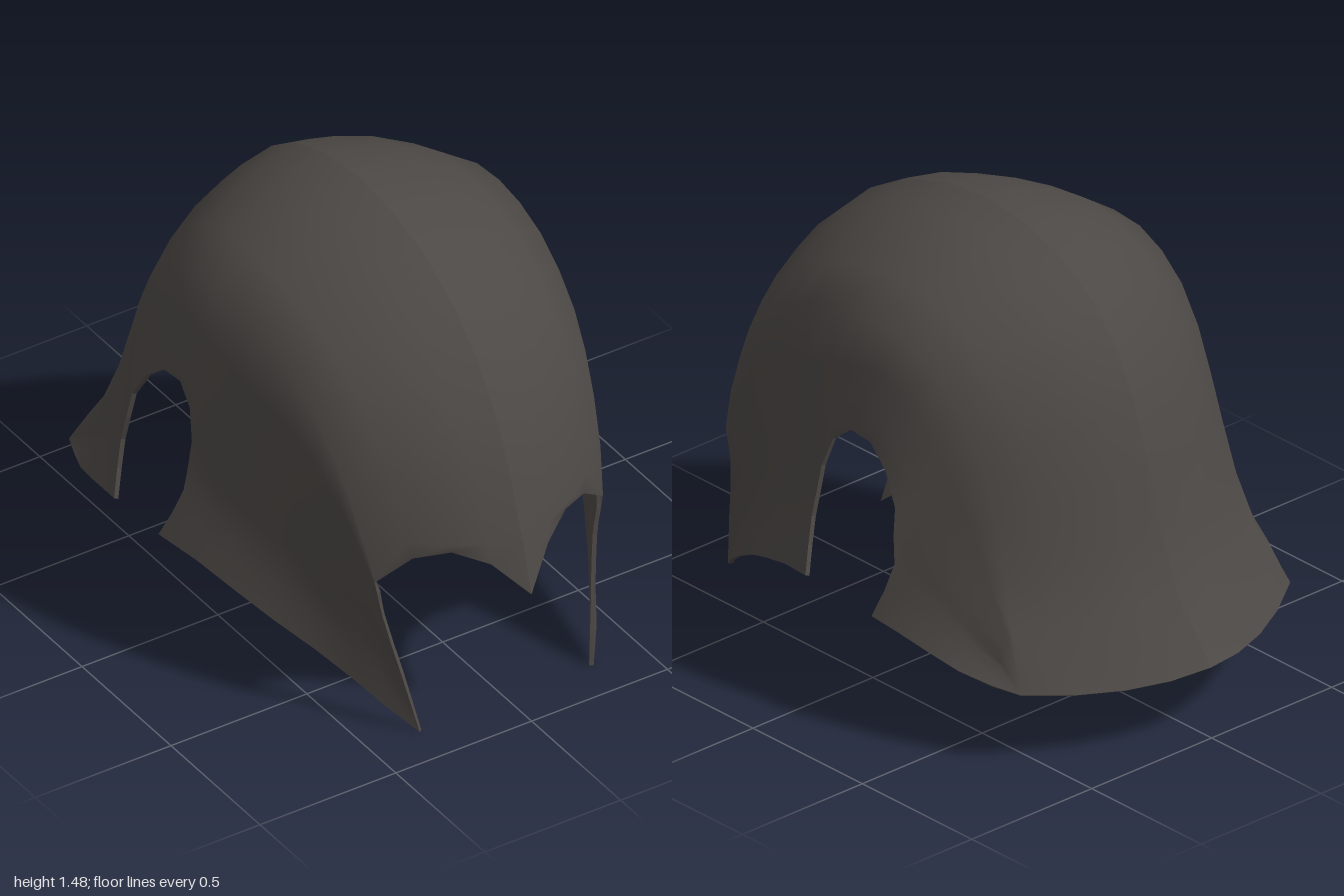
import * as THREE from 'three';

const V = (x, y, z) => new THREE.Vector3(x, y, z);
const points = (rows) => rows.map((p) => V(...p));

// Guide curves of the left half, each running from front to back.
// Centre ridge
const ridge = points([
  [0, .48, 1], [0, .65, .95], [0, .87, .875], [0, 1.03, .8], [0, 1.19, .69], [0, 1.31, .56],
  [0, 1.41, .39], [0, 1.465, .2], [0, 1.48, .03], [0, 1.46, -.15], [0, 1.4, -.32], [0, 1.305, -.46],
  [0, 1.18, -.57], [0, 1.02, -.65], [0, .83, -.71], [0, .64, -.765], [0, .44, -.84], [0, .245, -1],
]);
// Shoulder line where the vault turns into the side wall
const shoulder = points([
  [.42, .545, .76], [.44, .7, .715], [.455, .85, .655], [.47, .97, .585], [.485, 1.07, .5], [.5, 1.15, .39],
  [.512, 1.21, .27], [.52, 1.245, .14], [.523, 1.258, .02], [.52, 1.25, -.1], [.512, 1.21, -.21], [.5, 1.14, -.315],
  [.487, 1.03, -.405], [.475, .9, -.475], [.475, .75, -.53], [.485, .59, -.58], [.51, .42, -.645], [.56, .245, -.745],
]);
// Middle of the side wall, following the top of the ear opening
const wall = points([
  [.395, .41, .765], [.43, .48, .715], [.465, .55, .65], [.5, .6, .56], [.535, .64, .45], [.57, .68, .33],
  [.612, .72, .2], [.645, .76, .075], [.63, .86, .04], [.62, .915, -.03], [.62, .905, -.12], [.63, .84, -.2],
  [.645, .74, -.26], [.62, .66, -.33], [.595, .57, -.41], [.575, .47, -.5], [.55, .345, -.64], [.56, .245, -.745],
]);
// Lower edge of the cheek guard (columns 0-7) and of the neck guard (12-17)
const cheekEdge = points([
  [.32, 0, .86], [.39, .075, .77], [.445, .14, .68], [.51, .21, .57], [.59, .285, .45], [.65, .345, .32],
  [.7, .395, .18], [.745, .425, .04],
]);
const neckEdge = points([
  [.725, .385, -.24], [.705, .36, -.33], [.675, .32, -.45], [.645, .285, -.55], [.6, .258, -.655], [.56, .245, -.745],
]);
const EAR_FRONT = 7, EAR_BACK = 12, ARCH = 4, UPPER = 3, LOWER = 4;

// One column of the half shell, from the ridge down to the lower edge
function column(i) {
  const c = ridge[i], l = shoulder[i], m = wall[i];
  const out = i === 0 ? V(0, .13, -.01) : V(0, c.y - .6, c.z).normalize().multiplyScalar(.045);
  const col = [];
  for (let k = 0; k <= ARCH; k++) {
    const t = k / ARCH;
    col.push(c.clone().lerp(l, t).addScaledVector(out, 4 * t * (1 - t)));
  }
  const inEar = i > EAR_FRONT && i < EAR_BACK;
  const r = inEar ? m : i <= EAR_FRONT ? cheekEdge[i] : neckEdge[i - EAR_BACK];
  const n = m.clone().lerp(r, .5);
  if (i > 0 && i < 17) n.x -= .015;
  if (i === EAR_FRONT) n.z += .025;
  if (i === EAR_BACK) n.z -= .035;
  const side = new THREE.CatmullRomCurve3([l, m, n, r]);
  for (let k = 1; k <= UPPER; k++) col.push(side.getPoint(k / UPPER / 3));
  if (!inEar) for (let k = 1; k <= LOWER; k++) col.push(side.getPoint(1 / 3 + (k / LOWER) * 2 / 3));
  return col;
}

// Shared-vertex half shell: vertex list and outward-facing triangles
function halfShell() {
  const cols = ridge.map((_, i) => column(i));
  const verts = [], tris = [], seen = new Map();
  const id = (p) => {
    const key = p.toArray().map((n) => Math.round(n * 1e4)).join();
    if (!seen.has(key)) { seen.set(key, verts.length); verts.push(p); }
    return seen.get(key);
  };
  const add = (a, b, c) => { if (a !== b && b !== c && a !== c) tris.push([a, b, c]); };
  for (let i = 0; i + 1 < cols.length; i++) {
    const rows = Math.min(cols[i].length, cols[i + 1].length);
    for (let j = 0; j + 1 < rows; j++) {
      const a = id(cols[i][j]), b = id(cols[i][j + 1]);
      const c = id(cols[i + 1][j + 1]), d = id(cols[i + 1][j]);
      add(a, b, d);
      add(b, c, d);
    }
  }
  return { verts, tris };
}

// Indexed geometry; side = -1 mirrors it to the other half
function surface(verts, tris, side) {
  const g = new THREE.BufferGeometry();
  g.setAttribute('position', new THREE.Float32BufferAttribute(verts.flatMap((p) => [p.x * side, p.y, p.z]), 3));
  g.setIndex(tris.flatMap(([a, b, c]) => (side > 0 ? [a, b, c] : [a, c, b])));
  g.computeVertexNormals();
  return g;
}

export function createModel() {
  const group = new THREE.Group();
  group.name = 'helmet';
  const metal = new THREE.MeshStandardMaterial({ color: 0x4c4845 });
  metal.name = 'dark metal';

  const { verts, tris } = halfShell();

  // Inner face: the shell moved inwards along its normals
  const normals = surface(verts, tris, 1).getAttribute('normal');
  const inner = verts.map((p, i) => {
    const q = p.clone().addScaledVector(V(0, 0, 0).fromBufferAttribute(normals, i), -.014);
    if (p.x < 1e-4) q.x = 0;
    return q;
  });
  const innerTris = tris.map(([a, b, c]) => [a, c, b]);

  // Rim: a flat strip along every open edge except the centre ridge
  const edges = new Set();
  for (const t of tris) t.forEach((a, k) => edges.add(a + '_' + t[(k + 1) % 3]));
  const rimVerts = [], rimTris = [];
  for (const e of edges) {
    const [a, b] = e.split('_').map(Number);
    if (edges.has(b + '_' + a) || (verts[a].x < 1e-4 && verts[b].x < 1e-4)) continue;
    const s = rimVerts.length;
    rimVerts.push(verts[b], verts[a], inner[a], inner[b]);
    rimTris.push([s, s + 1, s + 2], [s, s + 2, s + 3]);
  }

  // Both halves, meeting in a crease at the ridge
  for (const [name, side] of [['left', 1], ['right', -1]]) {
    const half = new THREE.Group();
    half.name = name + 'Half';
    const parts = { OuterShell: [verts, tris], InnerShell: [inner, innerTris], Rim: [rimVerts, rimTris] };
    for (const [part, [v, t]] of Object.entries(parts)) {
      const mesh = new THREE.Mesh(surface(v, t, side), metal);
      mesh.name = name + part;
      half.add(mesh);
    }
    group.add(half);
  }
  return group;
}
